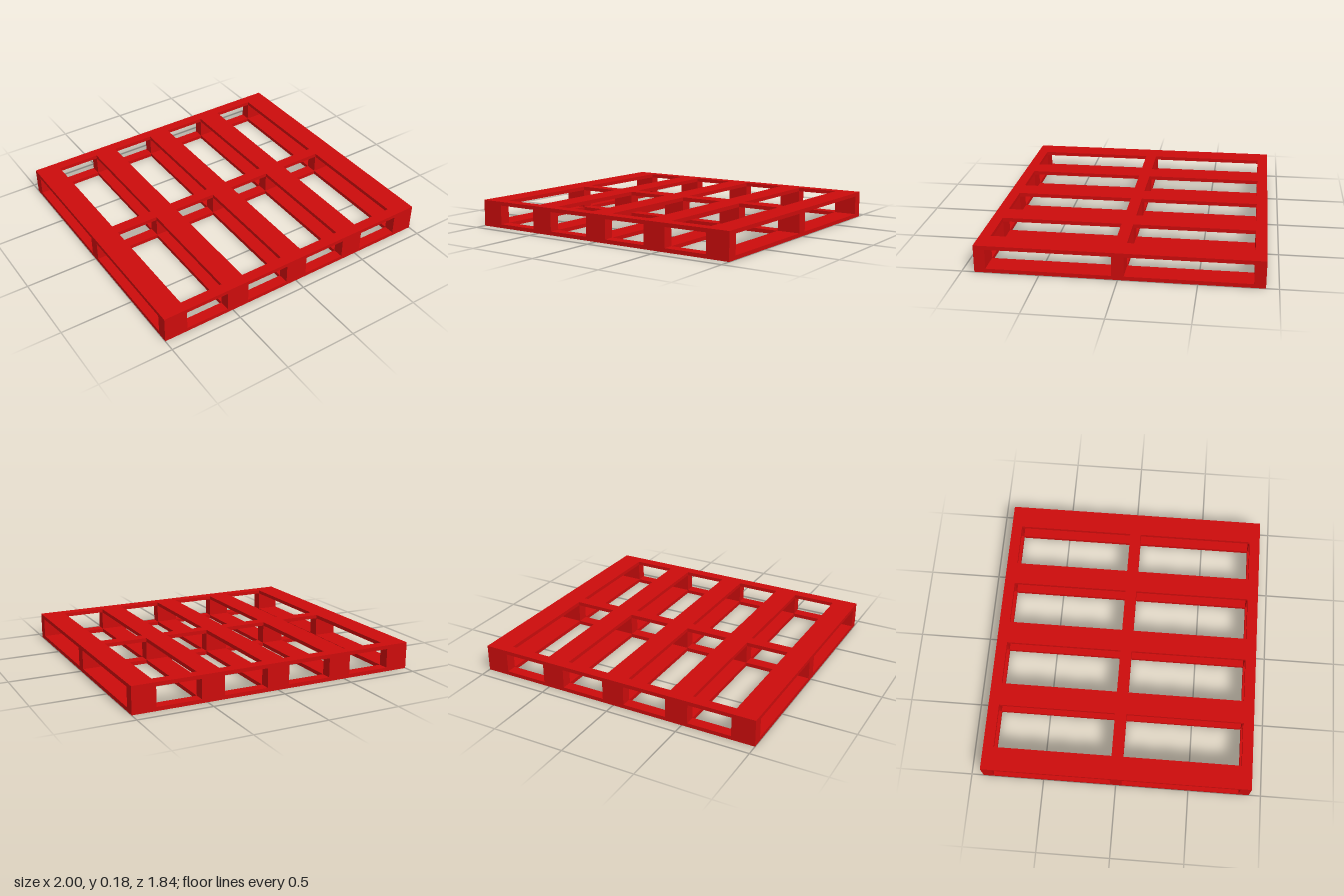
import * as THREE from 'three';

const HEIGHT = 0.183, BOARD = 0.026, HALF_DEPTH = 0.918;

// Spans [from, to] of the lengthwise slats (along z) and the cross boards (along x)
const SLATS = [[-1, -0.84], [-0.54, -0.383], [-0.078, 0.078], [0.383, 0.54], [0.84, 1]];
const RAILS = [[-HALF_DEPTH, -0.845], [-0.039, 0.039], [0.845, HALF_DEPTH]];

function rectangle(path, x0, x1, y0, y1) {
  path.moveTo(x0, y0);
  path.lineTo(x1, y0);
  path.lineTo(x1, y1);
  path.lineTo(x0, y1);
  path.closePath();
  return path;
}

// Flat deck with an opening between every pair of slats and rails
function deckGeometry() {
  const shape = rectangle(new THREE.Shape(), -1, 1, -HALF_DEPTH, HALF_DEPTH);
  for (let i = 0; i < SLATS.length - 1; i++) {
    for (let j = 0; j < RAILS.length - 1; j++) {
      shape.holes.push(rectangle(new THREE.Path(),
        SLATS[i][1], SLATS[i + 1][0], RAILS[j][1], RAILS[j + 1][0]));
    }
  }
  const geometry = new THREE.ExtrudeGeometry(shape, { depth: BOARD, bevelEnabled: false });
  return geometry.rotateX(-Math.PI / 2);
}

export function createModel() {
  const pallet = new THREE.Group();
  pallet.name = 'pallet';
  const paint = new THREE.MeshStandardMaterial({ color: 0xcc0c0c });

  // Matching decks below and above
  const deck = deckGeometry();
  for (const [name, y] of [['bottomDeck', 0], ['topDeck', HEIGHT - BOARD]]) {
    const mesh = new THREE.Mesh(deck, paint);
    mesh.name = name;
    mesh.position.y = y;
    pallet.add(mesh);
  }

  // Spacer blocks where slats and rails cross
  const blocks = new THREE.Group();
  blocks.name = 'spacerBlocks';
  for (const [x0, x1] of SLATS) {
    for (const [z0, z1] of RAILS) {
      const block = new THREE.Mesh(
        new THREE.BoxGeometry(x1 - x0, HEIGHT - 2 * BOARD, z1 - z0), paint);
      block.name = 'spacerBlock';
      block.position.set((x0 + x1) / 2, HEIGHT / 2, (z0 + z1) / 2);
      blocks.add(block);
    }
  }
  pallet.add(blocks);
  return pallet;
}
